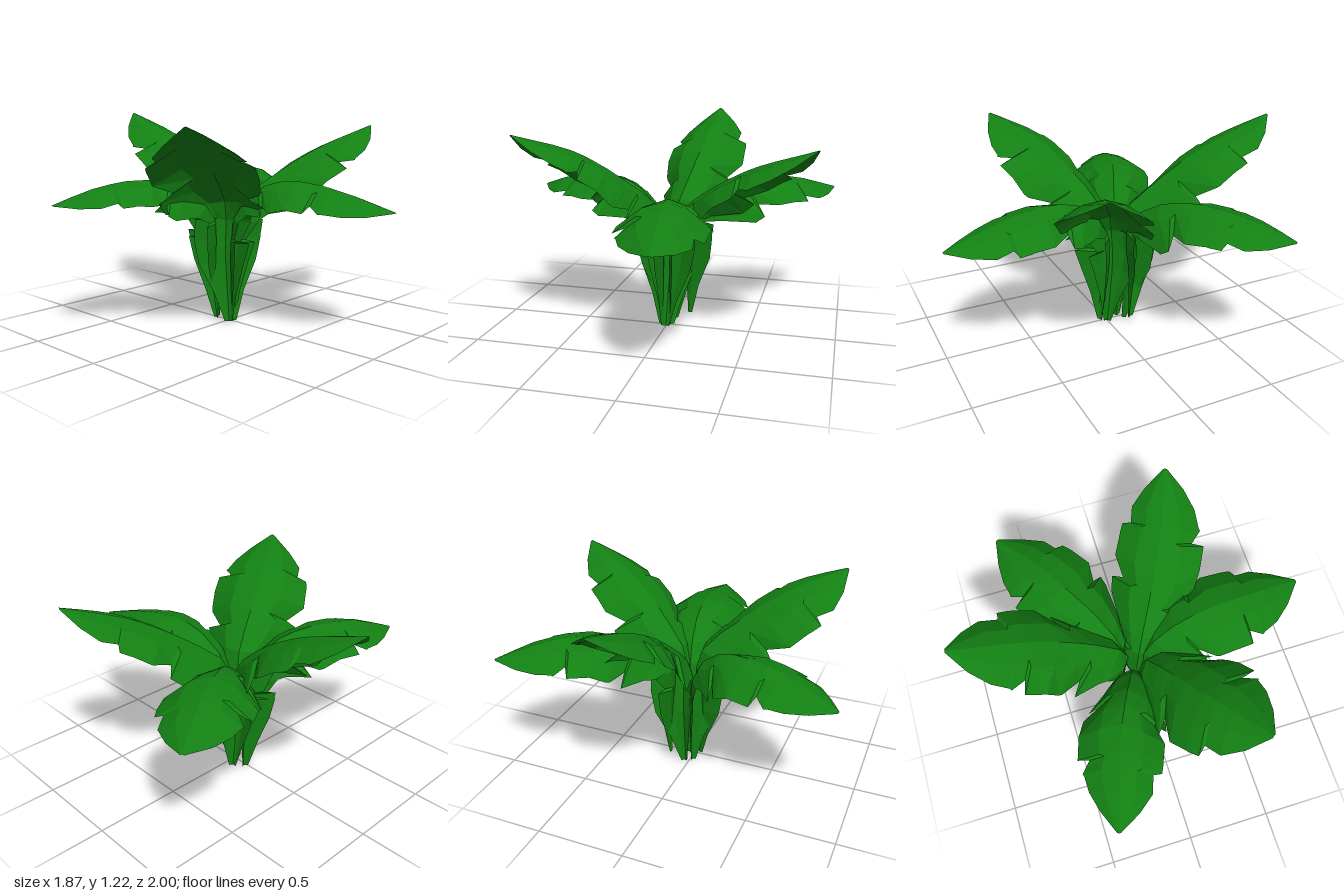
import * as THREE from 'three';

const material = new THREE.MeshStandardMaterial({
  color: 0x138013, flatShading: true, side: THREE.DoubleSide,
});

// Blade outline from root to tip: position along the rib, then the width of each side.
// Pairs of rows close together make the tears in the edge.
const outline = [
  [0.00, 0.02, 0.02], [0.10, 0.06, 0.06], [0.20, 0.12, 0.11], [0.27, 0.14, 0.14],
  [0.28, 0.14, 0.09], [0.35, 0.14, 0.14], [0.36, 0.09, 0.14], [0.43, 0.15, 0.16],
  [0.52, 0.23, 0.23], [0.53, 0.24, 0.16], [0.58, 0.25, 0.23], [0.595, 0.18, 0.24],
  [0.66, 0.25, 0.25], [0.74, 0.24, 0.25], [0.75, 0.24, 0.18], [0.79, 0.23, 0.22],
  [0.80, 0.18, 0.21], [0.86, 0.18, 0.18], [0.93, 0.11, 0.11], [1.00, 0.01, 0.01],
];
// Arched cross-section: fraction of the width, and drop below the rib
const section = [[-1, 0.5], [-0.5, 0.13], [0, 0], [0.5, 0.13], [1, 0.5]];

// sag folds the stalk part of the blade more deeply; it fades out along the rib
function leaf(name, points, { width = 1, roll = 0, flip = false, sag = 1 } = {}) {
  const curve = new THREE.CatmullRomCurve3(points.map((p) => new THREE.Vector3(...p)));
  const tip = points[points.length - 1], root = points[0];
  const side = new THREE.Vector3(tip[2] - root[2], 0, root[0] - tip[0]).normalize();
  const positions = [], index = [];
  const n = section.length;

  outline.forEach(([t, a, b], row) => {
    const tangent = curve.getTangentAt(t);
    const across = side.clone().addScaledVector(tangent, -side.dot(tangent)).normalize();
    across.applyAxisAngle(tangent, roll * Math.min(1, t * 2));
    const up = new THREE.Vector3().crossVectors(tangent, across).normalize();
    const fold = THREE.MathUtils.lerp(sag, 0.95, THREE.MathUtils.smoothstep(t, 0.5, 0.7));
    for (const [s, drop] of section) {
      const w = width * ((s < 0) !== flip ? a : b);
      // the edge sweeps forward toward the tip
      const p = curve.getPointAt(Math.min(1, t + 0.12 * w * Math.abs(s)));
      p.addScaledVector(across, s * w).addScaledVector(up, -drop * w * fold);
      positions.push(p.x, Math.max(0, p.y), p.z);
    }
    if (row === 0) return;
    for (let i = 0; i < n - 1; i++) {
      const k = (row - 1) * n + i;
      index.push(k, k + n, k + 1, k + 1, k + n, k + n + 1);
    }
  });

  const geometry = new THREE.BufferGeometry();
  geometry.setAttribute('position', new THREE.Float32BufferAttribute(positions, 3));
  geometry.setIndex(index);
  geometry.computeVertexNormals();
  const mesh = new THREE.Mesh(geometry, material);
  mesh.name = name;
  return mesh;
}

export function createModel() {
  const plant = new THREE.Group();
  plant.name = 'leafyPlant';
  plant.add(
    // raised leaves
    leaf('backLeaf', [[0.02, 0, -0.1], [0.03, 0.4, -0.11], [0.04, 0.7, -0.09],
      [0.08, 0.89, -0.29], [0.11, 1.06, -0.57], [0.13, 1.22, -1]], { sag: 2 }),
    leaf('frontRightLeaf', [[-0.02, 0, 0.02], [-0.02, 0.4, -0.01], [-0.03, 0.7, 0],
      [-0.23, 0.9, 0.1], [-0.47, 1.07, 0.23], [-0.76, 1.18, 0.43]],
      { roll: 0.1, width: 1.15, sag: 1.5 }),
    leaf('frontLeftLeaf', [[0.02, 0, 0], [0.03, 0.4, -0.03], [0.06, 0.68, 0],
      [0.26, 0.86, 0.12], [0.52, 1.02, 0.26], [0.87, 1.15, 0.4]], { flip: true, sag: 1.5 }),
    // low, arching leaves
    leaf('frontLeaf', [[0, 0, 0.03], [0.02, 0.35, 0.01], [0.04, 0.65, 0.03], [0.07, 0.81, 0.19],
      [0.1, 0.86, 0.43], [0.13, 0.82, 0.7], [0.17, 0.735, 1]], { flip: true, sag: 1.5 }),
    leaf('backLeftLeaf', [[0.11, 0.05, -0.1], [0.09, 0.4, -0.11], [0.09, 0.66, -0.1],
      [0.23, 0.8, -0.18], [0.42, 0.87, -0.3], [0.68, 0.86, -0.46], [0.93, 0.78, -0.63]],
      { sag: 1.8 }),
    leaf('backRightLeaf', [[-0.01, 0, -0.08], [-0.02, 0.35, -0.09], [-0.05, 0.65, -0.08],
      [-0.2, 0.8, -0.15], [-0.42, 0.86, -0.25], [-0.7, 0.83, -0.34], [-0.93, 0.75, -0.42]],
      { flip: true, width: 0.95, sag: 1.8 }),
  );
  return plant;
}
